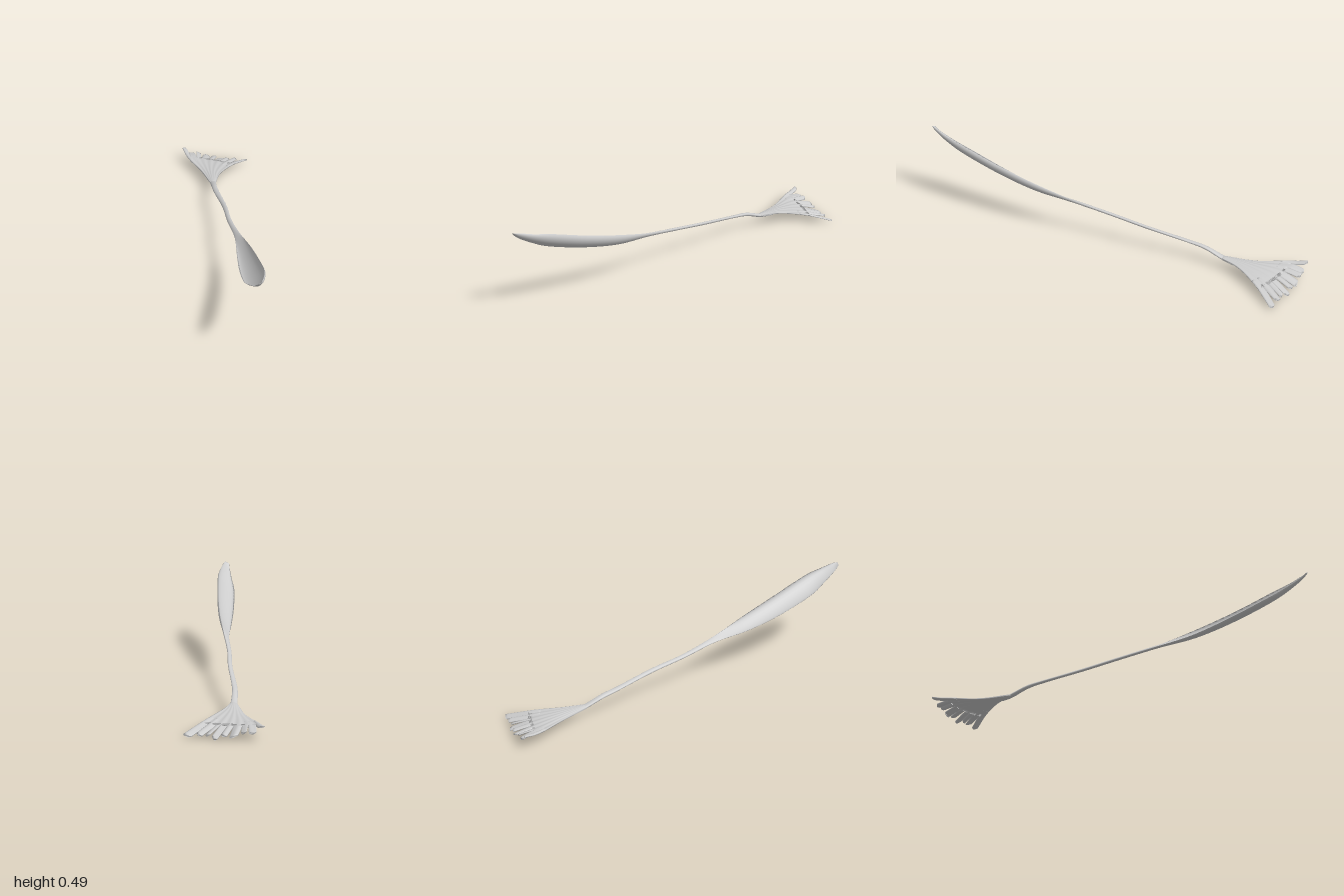
import * as THREE from 'three';

const material = new THREE.MeshStandardMaterial({ color: 0xcccccc, side: THREE.DoubleSide });

// Closed skin over rings of points; rings run front to back, each counter-clockwise from the front.
function loft(name, rings) {
  const n = rings[0].length, m = rings.length;
  const pos = rings.flat(2), index = [];
  for (let i = 0; i < m - 1; i++) {
    for (let j = 0; j < n; j++) {
      const a = i * n + j, b = i * n + (j + 1) % n;
      index.push(a, a + n, b, b, a + n, b + n);
    }
  }
  const last = (m - 1) * n;
  for (let j = 1; j < n - 1; j++) {
    index.push(0, j, j + 1);
    index.push(last, last + j + 1, last + j);
  }
  const geometry = new THREE.BufferGeometry();
  geometry.setAttribute('position', new THREE.Float32BufferAttribute(pos, 3));
  geometry.setIndex(index);
  geometry.computeVertexNormals();
  const mesh = new THREE.Mesh(geometry, material);
  mesh.name = name;
  return mesh;
}

// Stations: z, left edge x y, right edge x y, belly depth, hollow depth (negative = rounded)
const STATIONS = [
  [1.00, 0.318, 0.474, 0.340, 0.484, 0.004, 0.001],
  [0.97, 0.306, 0.446, 0.343, 0.480, 0.014, 0.005],
  [0.90, 0.277, 0.402, 0.343, 0.460, 0.025, 0.013],
  [0.80, 0.236, 0.350, 0.330, 0.434, 0.037, 0.023],
  [0.60, 0.190, 0.281, 0.280, 0.362, 0.037, 0.024],
  [0.40, 0.154, 0.233, 0.220, 0.296, 0.030, 0.015],
  [0.20, 0.117, 0.211, 0.147, 0.234, 0.013, -0.003],
  [0.00, 0.054, 0.176, 0.077, 0.188, 0.009, -0.007],
  [-0.20, -0.001, 0.145, 0.022, 0.157, 0.009, -0.007],
  [-0.40, -0.073, 0.111, -0.045, 0.120, 0.008, -0.007],
  [-0.50, -0.103, 0.092, -0.074, 0.102, 0.010, -0.009],
  [-0.60, -0.126, 0.062, -0.090, 0.066, 0.010, -0.008],
  [-0.67, -0.150, 0.056, -0.088, 0.060, 0.006, -0.006],
];

// Stem widening forward into a tilted, hollowed blade
function bladeAndStem() {
  const spline = new THREE.CubicInterpolant(STATIONS.map((_, i) => i), STATIONS.flat(), 7, new Float32Array(7));
  const rings = [], steps = 72, half = 10;
  for (let i = 0; i <= steps; i++) {
    const [z, lx, ly, rx, ry, belly, hollow] = spline.evaluate((i / steps) * (STATIONS.length - 1));
    const dx = rx - lx, dy = ry - ly, len = Math.hypot(dx, dy);
    const ring = [];
    for (let j = 0; j < half * 2; j++) {
      const a = (j / half) * Math.PI;
      const s = (1 - Math.cos(a)) / 2;
      const offset = Math.abs(Math.sin(a)) * (j < half ? belly : hollow);
      ring.push([lx + dx * s + (dy / len) * offset, ly + dy * s - (dx / len) * offset, z]);
    }
    rings.push(ring);
  }
  return loft('bladeAndStem', rings);
}

const curve = (points) => new THREE.CatmullRomCurve3(points.map((p) => new THREE.Vector3(...p)));
const LEFT_EDGE = curve([[-0.123, 0.063, -0.59], [-0.2, 0.053, -0.74], [-0.295, 0.058, -0.87], [-0.345, 0.066, -0.965]]);
const RIGHT_EDGE = curve([[-0.092, 0.067, -0.59], [-0.082, 0.064, -0.7], [-0.03, 0.046, -0.84], [0.042, 0.009, -0.98]]);

// Point on the fan sheet: u across, t from root to rim, with a sagging, pleated middle
function fanPoint(u, t) {
  const p = LEFT_EDGE.getPoint(t).lerp(RIGHT_EDGE.getPoint(t), u);
  const arch = Math.sin(Math.PI * u);
  p.y -= 0.026 * arch * t ** 3 - 0.003 * t * Math.sin(u * 40);
  p.z -= 0.022 * arch * t;
  return p;
}

// Thin piece of the fan between u0..u1 and t0..t1; past the slit depth it narrows, lifts and slants at the tip
function fanPiece(name, { u0, u1, t0, t1, thickness, slit = 1, lift = 0, slant = 0, across = 6 }) {
  const rings = [], steps = 14;
  for (let i = 0; i <= steps; i++) {
    const t = t0 + (i / steps) * (t1 - t0);
    const open = Math.max(0, (t - slit) / (1.001 - slit));
    const inset = (u1 - u0) * 0.14 * open;
    const a = u0 === 0 ? u0 : u0 + inset, b = u1 === 1 ? u1 : u1 - inset;
    const lower = [], upper = [];
    for (let j = 0; j <= across; j++) {
      const s = j / across;
      const p = fanPoint(a + (b - a) * s, t - open * (0.02 * (2 * s - 1) ** 2 + slant * s));
      const half = thickness * (0.4 + 0.6 * Math.sin(Math.PI * s)) * (1 - 0.3 * t);
      p.y += lift * open;
      lower.push([p.x, p.y - half, p.z]);
      upper.unshift([p.x, p.y + half, p.z]);
    }
    rings.push([...lower, ...upper]);
  }
  return loft(name, rings);
}

// Fringe: end u, length, tip lift, slit depth, tip slant
const STRIPS = [
  [0.08, 1.00, 0.006, 0.82, 0.02],
  [0.20, 0.97, -0.010, 0.78, -0.02],
  [0.30, 0.99, 0.004, 0.68, 0.03],
  [0.44, 0.98, -0.004, 0.76, -0.02],
  [0.55, 0.98, 0.002, 0.66, 0.02],
  [0.67, 1.00, -0.004, 0.66, 0.03],
  [0.75, 0.95, 0.004, 0.80, -0.01],
  [0.88, 0.99, 0.005, 0.78, 0.03],
  [1.00, 1.00, 0.000, 0.82, -0.01],
];

export function createModel() {
  const model = new THREE.Group();
  model.name = 'fringedStem';
  model.add(bladeAndStem());

  const fan = new THREE.Group();
  fan.name = 'fan';
  fan.add(fanPiece('fanWeb', { u0: 0, u1: 1, t0: 0, t1: 0.74, thickness: 0.008, across: 30 }));
  STRIPS.forEach(([u1, t1, lift, slit, slant], i) => {
    const u0 = i ? STRIPS[i - 1][0] : 0;
    fan.add(fanPiece('fringeStrip', { u0, u1, t0: 0.6, t1, thickness: 0.007, slit, lift, slant }));
  });
  model.add(fan);

  // stand on the ground, centred
  const box = new THREE.Box3().setFromObject(model);
  const c = box.getCenter(new THREE.Vector3());
  model.position.set(-c.x, -box.min.y, -c.z);
  return model;
}
